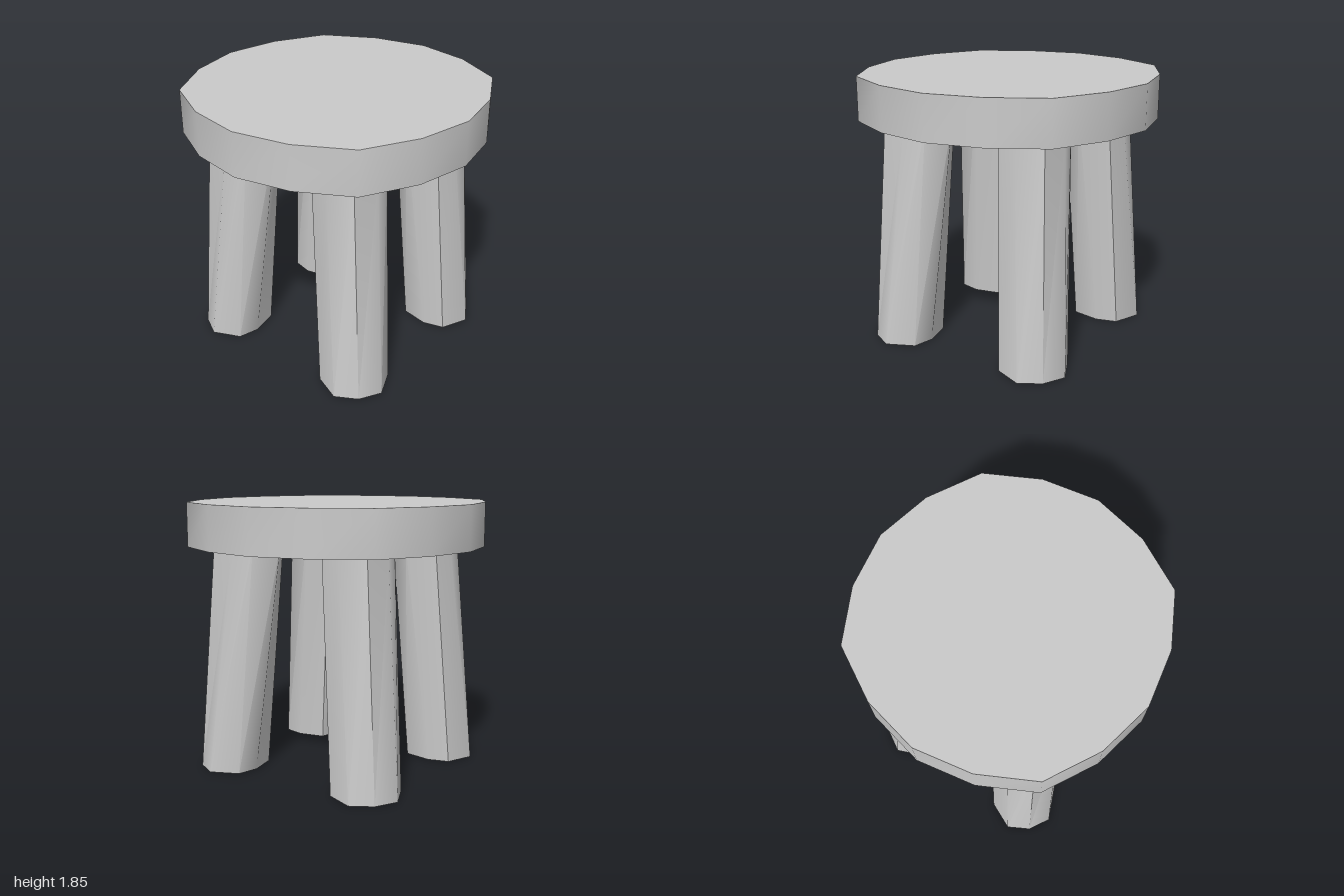
import * as THREE from 'three';
import { toCreasedNormals } from 'three/addons/utils/BufferGeometryUtils.js';

const material = new THREE.MeshStandardMaterial({ color: 0xcccccc });
const CREASE = THREE.MathUtils.degToRad(48);

// Many-sided column standing on y = 0 whose diagonal corners bulge by 4%.
// move(v, t, isDiagonal) then shifts each corner; t is 0 at the foot, 1 at the top.
function column(name, radius, height, sides, move) {
  const geometry = new THREE.CylinderGeometry(radius, radius, height, sides);
  geometry.translate(0, height / 2, 0);
  const position = geometry.attributes.position;
  const v = new THREE.Vector3();
  for (let i = 0; i < position.count; i++) {
    v.fromBufferAttribute(position, i);
    const isDiagonal = Math.abs(v.x) > 1e-4 && Math.abs(Math.abs(v.x) - Math.abs(v.z)) < 1e-4;
    if (isDiagonal) {
      v.x *= 1.04;
      v.z *= 1.04;
    }
    if (move) move(v, v.y / height, isDiagonal);
    position.setXYZ(i, v.x, v.y, v.z);
  }
  const mesh = new THREE.Mesh(toCreasedNormals(geometry, CREASE), material);
  mesh.name = name;
  return mesh;
}

// Eight-sided leg splayed outwards; its diagonal corners lean a little less.
function leg(name, sideX, sideZ) {
  return column(name, 0.2275, 1.55, 8, (v, t, isDiagonal) => {
    const shift = isDiagonal ? THREE.MathUtils.lerp(-0.022, 0.022, t) : 0;
    v.x += sideX * (THREE.MathUtils.lerp(0.5325, 0.425, t) + shift);
    v.z += sideZ * (THREE.MathUtils.lerp(0.568, 0.42, t) + shift);
  });
}

export function createModel() {
  const stool = new THREE.Group();
  stool.name = 'stool';

  // Thick round seat
  const seat = column('seat', 1, 0.3, 16);
  seat.position.y = 1.55;
  stool.add(seat);

  // Four legs
  for (const [sideX, x] of [[1, 'Left'], [-1, 'Right']]) {
    for (const [sideZ, z] of [[1, 'front'], [-1, 'back']]) {
      stool.add(leg(`${z}${x}Leg`, sideX, sideZ));
    }
  }
  return stool;
}
